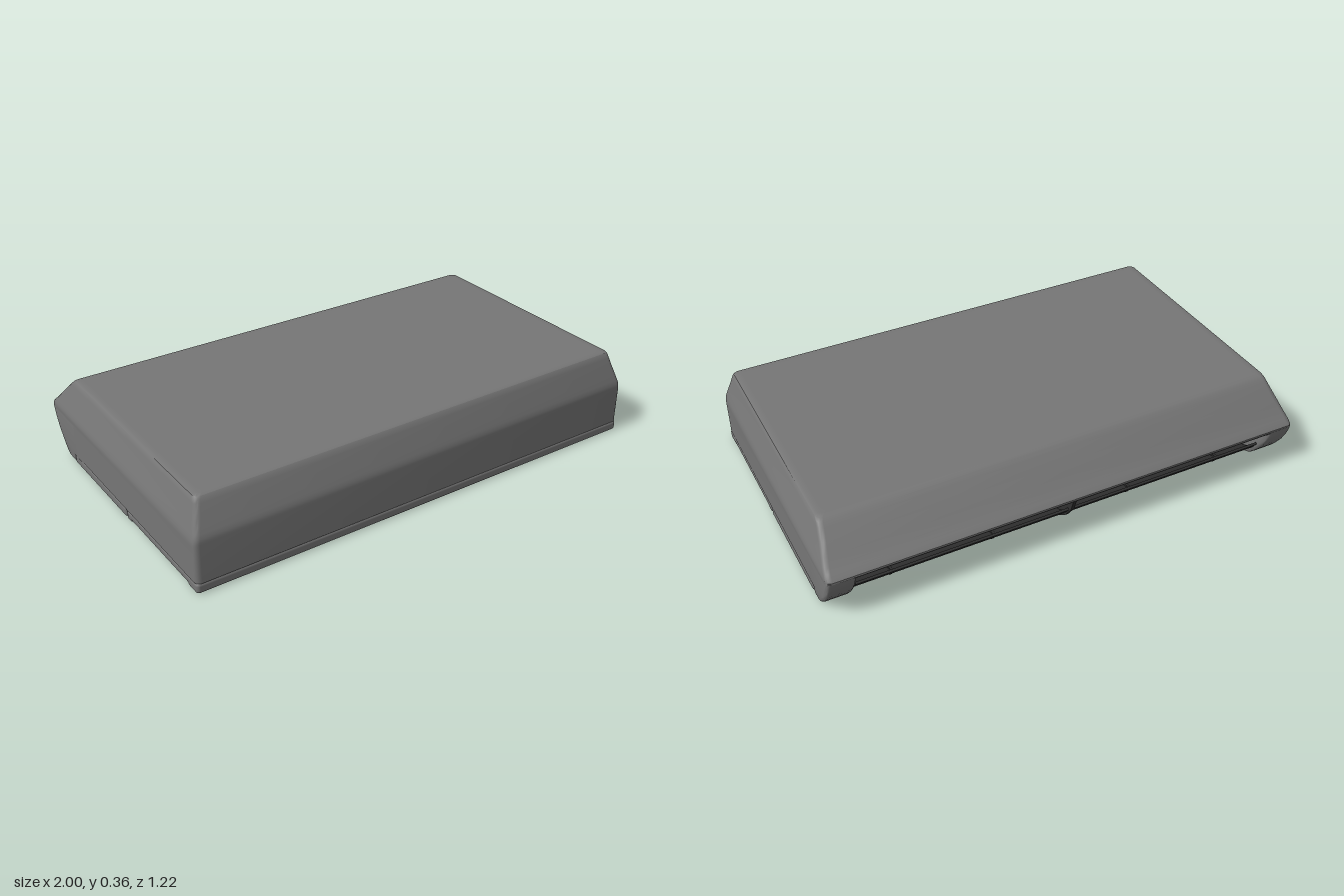
import * as THREE from 'three';
import { toCreasedNormals } from 'three/addons/utils/BufferGeometryUtils.js';
import { RoundedBoxGeometry } from 'three/addons/geometries/RoundedBoxGeometry.js';

const shell = new THREE.MeshStandardMaterial({ color: 0x767676, side: THREE.DoubleSide });
const dark = new THREE.MeshStandardMaterial({ color: 0x303030, side: THREE.DoubleSide });

function add(parent, name, geometry, material, x = 0, y = 0, z = 0) {
  const mesh = new THREE.Mesh(geometry, material);
  mesh.name = name;
  mesh.position.set(x, y, z);
  parent.add(mesh);
}

// Stack of rounded rectangles; each ring is [y, half width, front z, back z]
function loft(rings, r, steps = 4) {
  const loops = rings.map(([y, w, zf, zb]) => {
    const loop = [];
    const corners = [[w - r, zf - r], [r - w, zf - r], [r - w, zb + r], [w - r, zb + r]];
    corners.forEach(([cx, cz], q) => {
      for (let s = 0; s <= steps; s++) {
        const a = (q + s / steps) * Math.PI / 2;
        loop.push([cx + r * Math.cos(a), y, cz + r * Math.sin(a)]);
      }
    });
    return loop;
  });
  const n = loops[0].length, pos = [];
  const tri = (...pts) => pts.forEach((p) => pos.push(...p));
  const top = loops[loops.length - 1];
  for (let j = 0; j < n; j++) {
    const k = (j + 1) % n;
    for (let i = 0; i < loops.length - 1; i++) {
      const lo = loops[i], up = loops[i + 1];
      tri(lo[j], up[j], lo[k]);
      tri(lo[k], up[j], up[k]);
    }
    tri([0, rings[0][0], 0], loops[0][j], loops[0][k]);
    tri([0, top[0][1], 0], top[k], top[j]);
  }
  const g = new THREE.BufferGeometry();
  g.setAttribute('position', new THREE.Float32BufferAttribute(pos, 3));
  return toCreasedNormals(g, 0.6);
}

// Side profile of [z, y] points extruded along x and centred on x = 0
function extrudeX(points, width, bevel = 0) {
  const shape = new THREE.Shape(points.map(([z, y]) => new THREE.Vector2(z, y)));
  const g = new THREE.ExtrudeGeometry(shape, {
    depth: width - 2 * bevel, bevelEnabled: bevel > 0, bevelThickness: bevel,
    bevelSize: bevel, bevelOffset: -bevel, bevelSegments: 4,
  });
  g.translate(0, 0, -(width - 2 * bevel) / 2).rotateY(-Math.PI / 2);
  return toCreasedNormals(g, 0.6);
}

export function createModel() {
  const model = new THREE.Group();
  model.name = 'ceilingAirConditioner';

  // Casing, stepped in at the lower back for the air outlet
  add(model, 'casing', loft([
    [0.045, 0.998, 0.612, -0.42],
    [0.185, 0.998, 0.613, -0.42],
    [0.185, 0.998, 0.613, -0.605],
    [0.195, 0.998, 0.613, -0.612],
    [0.203, 0.998, 0.613, -0.612],
    [0.212, 0.997, 0.613, -0.604],
    [0.225, 0.995, 0.612, -0.588],
    [0.24, 0.991, 0.607, -0.57],
    [0.265, 0.984, 0.598, -0.545],
    [0.3, 0.974, 0.584, -0.51],
    [0.335, 0.965, 0.571, -0.472],
    [0.348, 0.962, 0.565, -0.457],
    [0.356, 0.957, 0.559, -0.444],
    [0.36, 0.945, 0.546, -0.426],
    [0.36, 0.925, 0.526, -0.406],
  ], 0.022), shell);

  // Rounded cheeks at both ends of the outlet
  const cheek = extrudeX([
    [-0.427, 0.005], [-0.427, 0.03], [-0.33, 0.03], [-0.33, 0.21], [-0.595, 0.21], [-0.611, 0.198],
    [-0.605, 0.17], [-0.593, 0.14], [-0.574, 0.105], [-0.549, 0.07], [-0.522, 0.038],
    [-0.499, 0.016], [-0.475, 0.005],
  ], 0.11, 0.014);
  for (const s of [-1, 1]) add(model, 'outletCheek', cheek, shell, s * 0.9425);

  // Underside panel behind the intake
  add(model, 'bottomPanel', new RoundedBoxGeometry(1.996, 0.045, 0.478, 3, 0.014), shell, 0, 0.0245, -0.186);

  // Intake frame with an open centre
  const intake = new THREE.Group();
  intake.name = 'intakeGrille';
  model.add(intake);
  for (const [z, d] of [[0.575, 0.074], [0.078, 0.044]]) {
    add(intake, 'grilleRail', new RoundedBoxGeometry(1.996, 0.045, d, 3, 0.014), shell, 0, 0.0245, z);
  }
  const end = new RoundedBoxGeometry(0.05, 0.037, 0.53, 3, 0.014);
  for (const s of [-1, 1]) add(intake, 'grilleEnd', end, shell, s * 0.973, 0.0285, 0.33);

  // Fine slats
  const slat = new THREE.BoxGeometry(1.91, 0.03, 0.008);
  for (let i = 0; i < 30; i++) add(intake, 'grilleSlat', slat, shell, 0, 0.021, 0.107 + i * 0.0147);

  // Outlet: dark lining on the wall and ceiling of the recess
  const outlet = new THREE.Group();
  outlet.name = 'airOutlet';
  model.add(outlet);
  add(outlet, 'outletLining', extrudeX([
    [-0.415, 0.01], [-0.432, 0.01], [-0.432, 0.178], [-0.592, 0.18], [-0.592, 0.187], [-0.415, 0.187],
  ], 1.79), dark);

  // Upright fins hanging from the ceiling
  const fin = extrudeX([[-0.42, 0.186], [-0.588, 0.186], [-0.57, 0.15], [-0.51, 0.105], [-0.42, 0.09]], 0.008);
  for (let i = 0; i < 18; i++) add(outlet, 'deflectorFin', fin, dark, (i - 8.5) * 0.1);

  // Swing flaps just inside the outlet mouth, one each side of the divider
  const flap = extrudeX([
    [-0.465, 0.032], [-0.492, 0.04], [-0.525, 0.064], [-0.557, 0.104],
    [-0.55, 0.111], [-0.518, 0.074], [-0.488, 0.052], [-0.465, 0.044],
  ], 0.87);
  for (const s of [-1, 1]) add(outlet, 'swingFlap', flap, dark, s * 0.443);
  add(outlet, 'middleDivider', extrudeX([
    [-0.42, 0.186], [-0.593, 0.186], [-0.57, 0.115], [-0.53, 0.058], [-0.48, 0.018], [-0.42, 0.015],
  ], 0.014), dark);

  // Small brackets under the flaps
  const bracket = extrudeX([[-0.425, 0.05], [-0.52, 0.064], [-0.485, 0.02], [-0.425, 0.015]], 0.01);
  for (const x of [-0.72, -0.3, 0.3, 0.72]) add(outlet, 'flapBracket', bracket, dark, x);

  return model;
}
